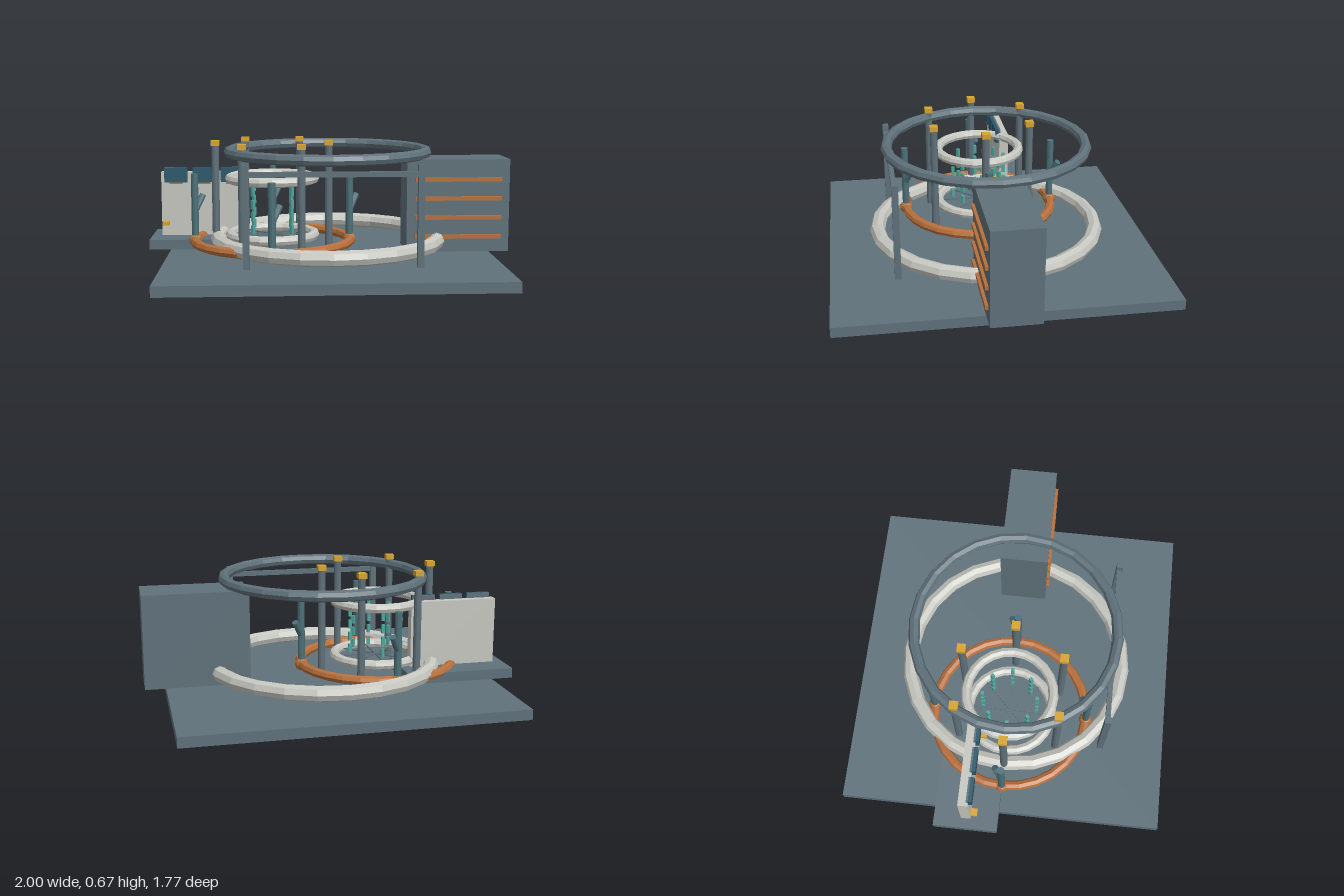
import * as THREE from 'three';

const mat = (color) => new THREE.MeshStandardMaterial({ color, flatShading: true });

export function createModel() {
  const slate = mat(0x5f717a), white = mat(0xc6c7c0), copper = mat(0xb8703c), gold = mat(0xd6a42e);
  const teal = mat(0x4fa79f), steel = mat(0x4c7078), glass = mat(0x2a586a);
  const model = new THREE.Group();
  model.name = 'assemblyStation';

  const add = (name, geometry, material, x, y, z, parent = model) => {
    const mesh = new THREE.Mesh(geometry, material);
    mesh.name = name;
    mesh.position.set(x, y, z);
    parent.add(mesh);
    return mesh;
  };
  // Box given by its min and max corners
  const box = (name, material, x0, x1, y0, y1, z0, z1) =>
    add(name, new THREE.BoxGeometry(x1 - x0, y1 - y0, z1 - z0), material,
      (x0 + x1) / 2, (y0 + y1) / 2, (z0 + z1) / 2);
  // Horizontal ring
  const ring = (name, material, x, y, radius, tube, sides = 24) =>
    add(name, new THREE.TorusGeometry(radius, tube, 8, sides).rotateX(Math.PI / 2), material, x, y, 0);
  // Upright round post
  const post = (name, material, x, y0, y1, z, r) =>
    add(name, new THREE.CylinderGeometry(r, r, y1 - y0, 12), material, x, (y0 + y1) / 2, z);

  const cx = -0.31; // centre of the inner rings

  // Floor plate
  box('basePlate', slate, -0.88, 0.888, 0, 0.055, -0.884, 0.884);

  // Rings
  ring('outerTrack', white, 0, 0.12, 0.615, 0.042);
  ring('topRing', slate, 0, 0.607, 0.548, 0.03);
  ring('copperTrack', copper, cx, 0.108, 0.432, 0.027, 28);
  ring('upperInnerRing', white, cx, 0.457, 0.236, 0.027);
  ring('lowerInnerRing', white, cx, 0.14, 0.236, 0.027);

  // Radial spokes and columns of small cells between the inner rings
  for (let i = 0; i < 8; i++) {
    const sector = new THREE.Group();
    sector.name = 'cellSector';
    sector.position.x = cx;
    sector.rotation.y = i * Math.PI / 4;
    model.add(sector);
    add('spoke', new THREE.BoxGeometry(0.22, 0.006, 0.006), slate, 0.11, 0.14, 0, sector);
    for (let j = 0; j < 4; j++) {
      add('cell', new THREE.BoxGeometry(0.018, 0.048, 0.018), teal, 0.15, 0.183 + j * 0.07, 0, sector);
    }
  }

  // Six tall columns with gold caps
  for (let i = 0; i < 6; i++) {
    const a = i * Math.PI / 3;
    const x = cx + 0.315 * Math.cos(a), z = 0.315 * Math.sin(a);
    post('column', slate, x, 0.055, 0.64, z, 0.021);
    add('columnCap', new THREE.BoxGeometry(0.046, 0.028, 0.046), gold, x, 0.653, z);
  }

  // Four carriers on the copper track, each with a slanted arm
  const armDir = new THREE.Vector3(0.4, 0.83, -0.38).normalize();
  for (let i = 0; i < 4; i++) {
    const a = i * Math.PI / 2;
    const x = cx + 0.432 * Math.cos(a), z = 0.432 * Math.sin(a);
    add('carrierFoot', new THREE.SphereGeometry(0.037, 10, 8), copper, x, 0.108, z);
    post('carrierPost', steel, x, 0.1, 0.483, z, 0.02);
    const arm = add('carrierArm', new THREE.CylinderGeometry(0.018, 0.018, 0.1, 10), steel,
      x + 0.022, 0.318, z - 0.02);
    arm.quaternion.setFromUnitVectors(new THREE.Vector3(0, 1, 0), armDir);
  }

  // Front gate
  for (const x of [-0.44, 0.45]) box('gatePost', slate, x - 0.017, x + 0.017, 0.055, 0.585, 0.513, 0.547);
  box('gateBar', slate, -0.44, 0.45, 0.523, 0.55, 0.517, 0.543);

  // Cabinet with copper slats on its front
  box('cabinet', slate, 0.43, 1, 0.055, 0.568, -0.133, 0.13);
  for (const y of [0.14, 0.247, 0.353, 0.458]) {
    box('cabinetSlat', copper, 0.476, 0.954, y - 0.011, y + 0.011, 0.125, 0.146);
  }

  // Control panel on its platform
  box('controlPlatform', slate, -1, -0.4, 0.055, 0.11, -0.353, 0);
  box('controlPanel', white, -0.945, -0.455, 0.11, 0.476, -0.203, -0.15);
  for (const x of [-0.86, -0.7, -0.54]) {
    box('screen', glass, x - 0.065, x + 0.065, 0.418, 0.503, -0.15, -0.13);
    box('screenFrame', slate, x - 0.065, x + 0.065, 0.418, 0.503, -0.16, -0.15);
    box('screenStrip', copper, x - 0.035, x + 0.035, 0.408, 0.418, -0.15, -0.13);
  }
  for (const x of [-0.92, -0.48]) box('panelButton', gold, x - 0.02, x + 0.02, 0.172, 0.194, -0.15, -0.112);

  return model;
}
